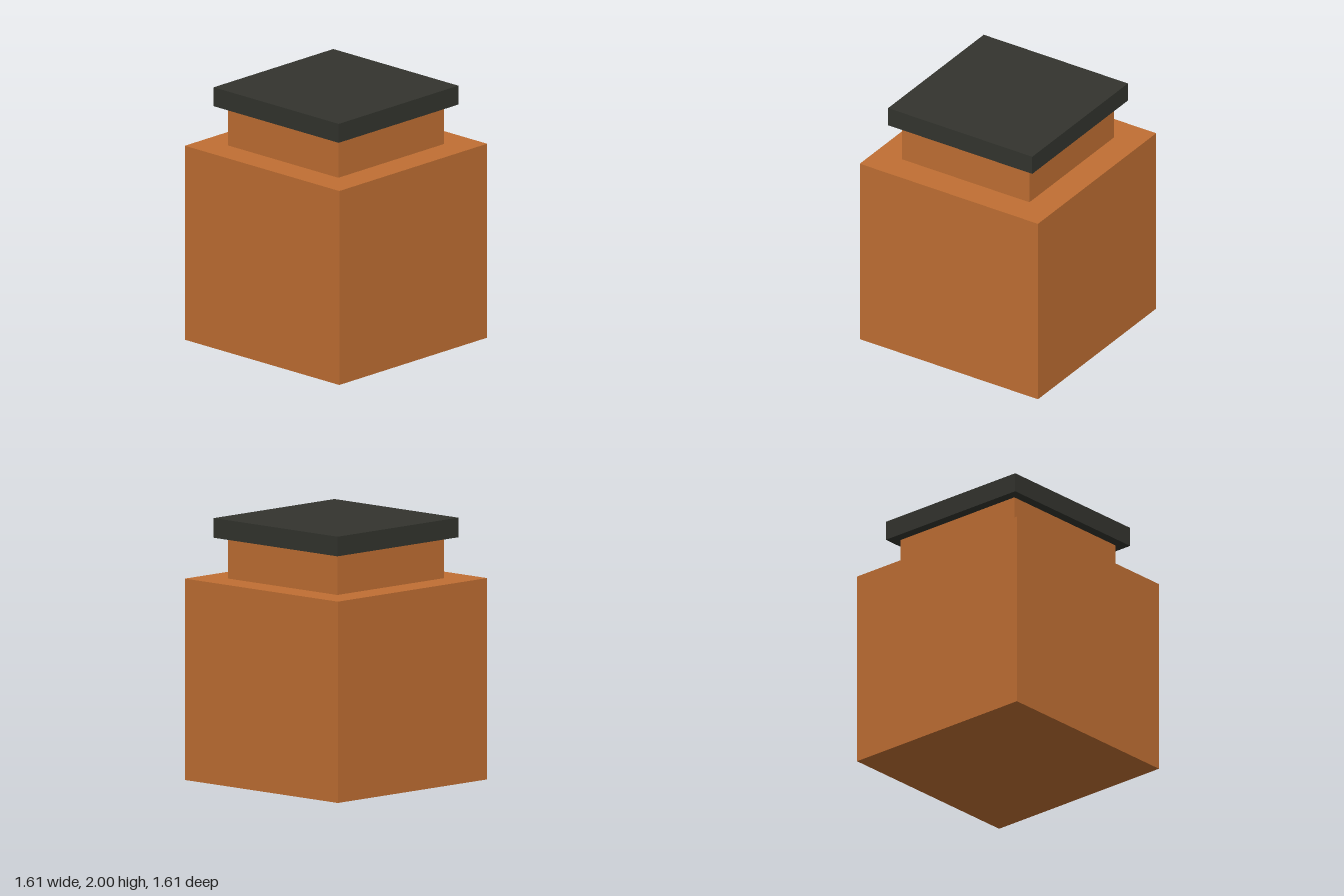
import * as THREE from 'three';

export function createModel() {
  const group = new THREE.Group();
  const clay = new THREE.MeshStandardMaterial({ color: 0xc06f33 });
  const dark = new THREE.MeshStandardMaterial({ color: 0x33342e });

  // Square block spanning the heights y0 to y1
  const addBlock = (name, width, y0, y1, material) => {
    const mesh = new THREE.Mesh(new THREE.BoxGeometry(width, y1 - y0, width), material);
    mesh.name = name;
    mesh.position.y = (y0 + y1) / 2;
    group.add(mesh);
  };

  // Jar body, narrower neck and overhanging lid
  addBlock('body', 1.614, 0, 1.538, clay);
  addBlock('neck', 1.152, 1.538, 1.85, clay);
  addBlock('lid', 1.306, 1.85, 2, dark);

  return group;
}
